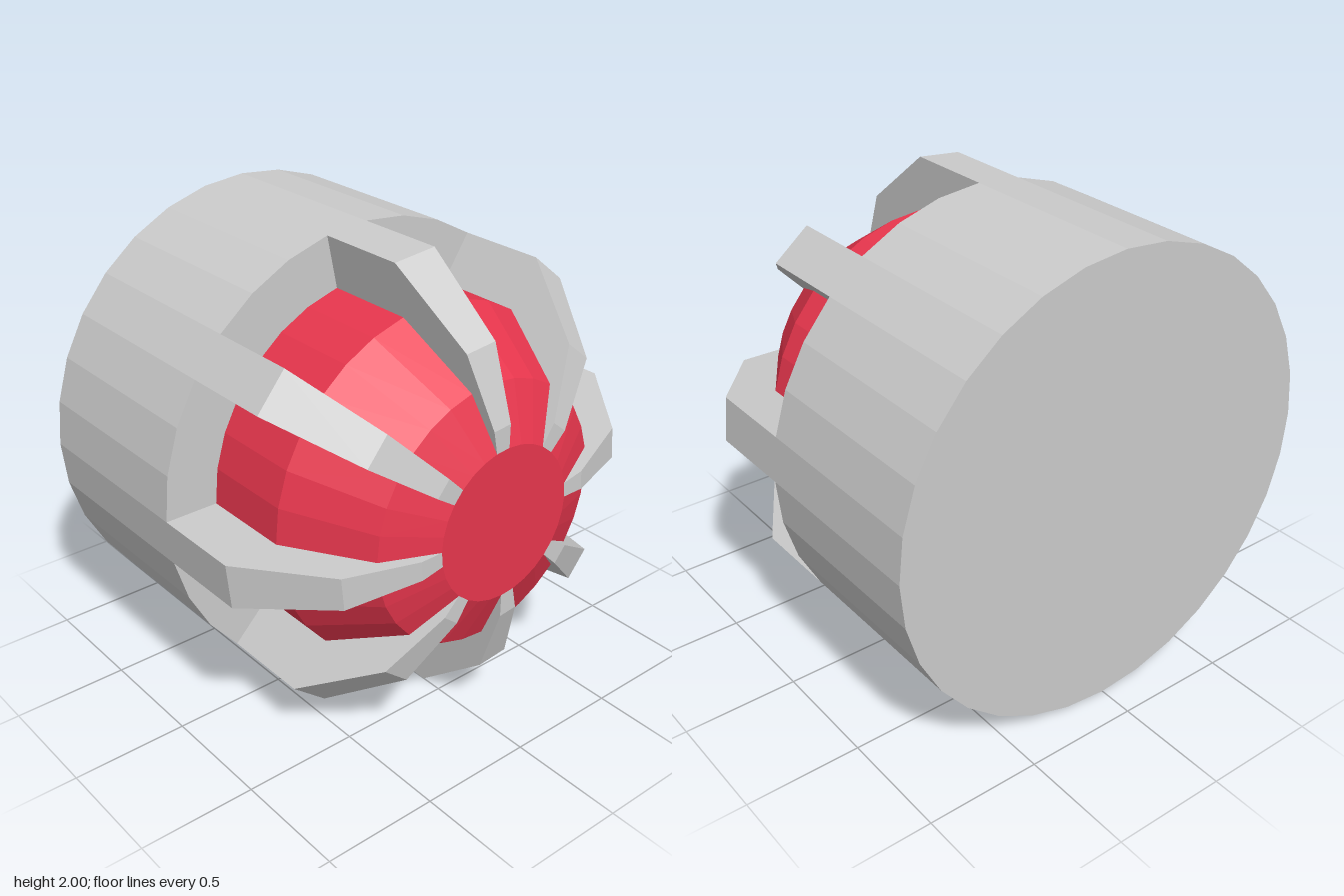
import * as THREE from 'three';

const SIDES = 32;
const STEP = (Math.PI * 2) / SIDES;
const BASE = 0.005; // z where the body ends and the dome starts

const grey = new THREE.MeshStandardMaterial({ color: 0xcccccc, flatShading: true });
const red = new THREE.MeshStandardMaterial({ color: 0xe7364d, flatShading: true });

// dome and rib profiles as [radius, z], from the body to the front
const domeProfile = [[0.77, BASE], [0.77, 0.405], [0.56, 0.745], [0.33, 0.845]];
const ribProfile = [[1, BASE], [1, 0.405], [0.73, 0.745], [0.43, 0.845]];

const toPoints = (list) => list.map(([r, z]) => new THREE.Vector2(r, z));

// solid of revolution around the z axis
function turned(name, profile, material) {
  const geometry = new THREE.LatheGeometry(toPoints(profile), SIDES).rotateX(Math.PI / 2);
  const mesh = new THREE.Mesh(geometry, material);
  mesh.name = name;
  return mesh;
}

// rib: the profile is extruded, then its depth is bent into one step of the circle
function ribGeometry() {
  const shape = new THREE.Shape(toPoints([...ribProfile, ...[...domeProfile].reverse()]));
  const geometry = new THREE.ExtrudeGeometry(shape, { depth: 1, steps: 1, bevelEnabled: false });
  const p = geometry.attributes.position;
  for (let i = 0; i < p.count; i++) {
    const r = p.getX(i);
    const z = p.getY(i);
    const angle = STEP * (1 - p.getZ(i));
    p.setXYZ(i, r * Math.cos(angle), r * Math.sin(angle), z);
  }
  geometry.computeVertexNormals();
  return geometry;
}

export function createModel() {
  const model = new THREE.Group();
  model.name = 'ribbedLamp';

  // closed drum at the back with a ring-shaped front ledge
  model.add(turned('body', [[0, -0.845], [1, -0.845], [1, BASE], [0.77, BASE]], grey));

  // faceted dome with a flat front
  model.add(turned('dome', [...domeProfile, [0, 0.845]], red));

  // eight guard ribs around the dome
  const ribs = new THREE.Group();
  ribs.name = 'ribs';
  const geometry = ribGeometry();
  for (let k = 0; k < 8; k++) {
    const rib = new THREE.Mesh(geometry, grey);
    rib.name = 'rib';
    rib.rotation.z = (k * Math.PI) / 4;
    ribs.add(rib);
  }
  model.add(ribs);

  // rest on the ground
  model.children.forEach((part) => (part.position.y = 1));
  return model;
}
